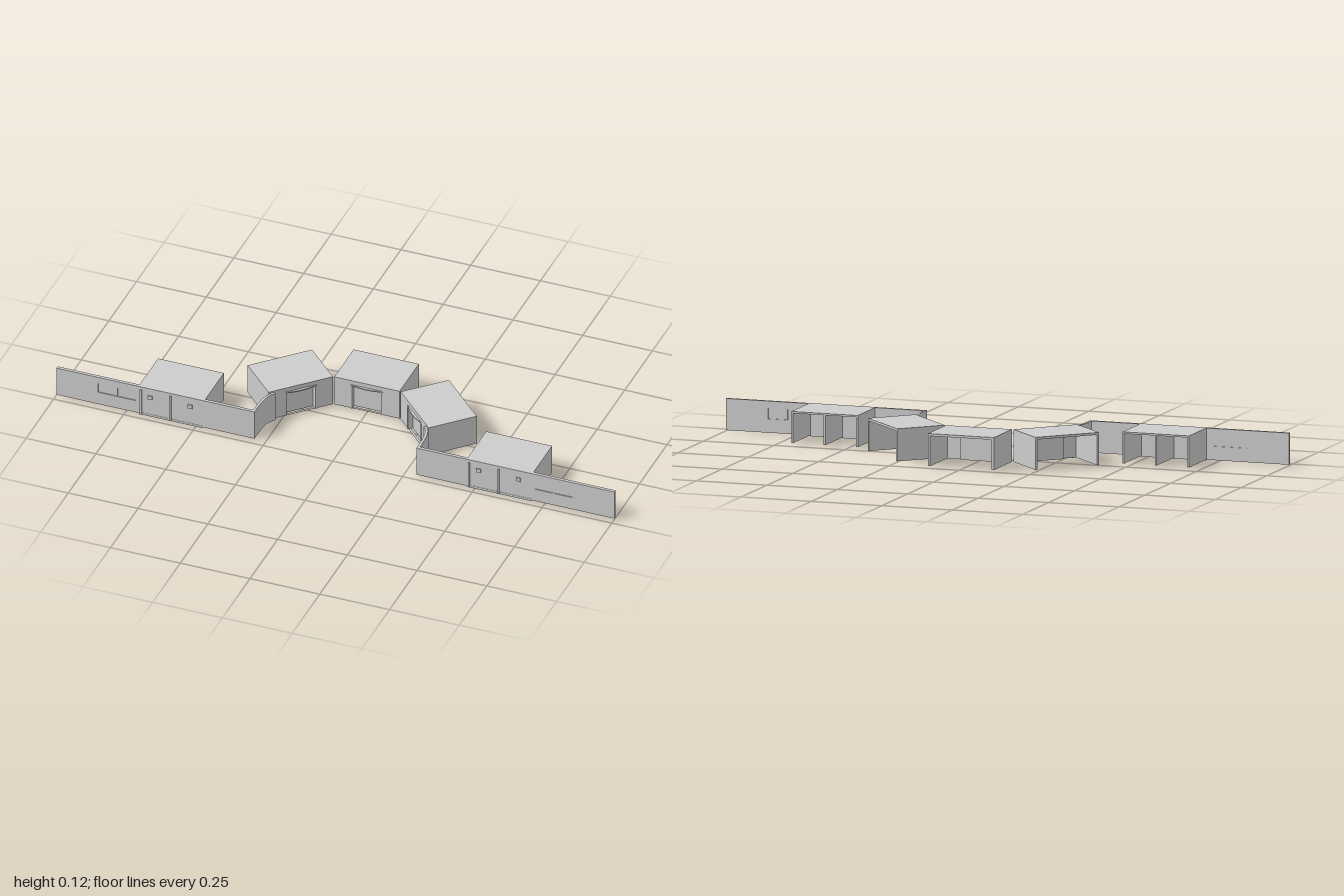
import * as THREE from 'three';

const mat = new THREE.MeshStandardMaterial({ color: 0xcccccc, side: THREE.DoubleSide });

// Box given by its min and max corners
function box(parent, name, x0, x1, y0, y1, z0, z1) {
  const m = new THREE.Mesh(new THREE.BoxGeometry(x1 - x0, y1 - y0, z1 - z0), mat);
  m.position.set((x0 + x1) / 2, (y0 + y1) / 2, (z0 + z1) / 2);
  m.name = name;
  parent.add(m);
  return m;
}

// Upright panel in x/y with rectangular holes [x0, x1, y0, y1], from z0 to z1
function panel(parent, name, x0, x1, y0, y1, z0, z1, holes) {
  const rect = (C, a, b, c, d) => {
    const p = new C();
    p.moveTo(a, c); p.lineTo(b, c); p.lineTo(b, d); p.lineTo(a, d); p.closePath();
    return p;
  };
  const shape = rect(THREE.Shape, x0, x1, y0, y1);
  holes.forEach(h => shape.holes.push(rect(THREE.Path, ...h)));
  const m = new THREE.Mesh(new THREE.ExtrudeGeometry(shape, { depth: z1 - z0, bevelEnabled: false }), mat);
  m.position.z = z0;
  m.name = name;
  parent.add(m);
}

// Pavilion open at the back and below, with a recessed doorway in front
function pavilion(name) {
  const g = new THREE.Group();
  g.name = name;
  const w = 0.117, d = 0.0875, t = 0.008, b = 0.005, doorW = 0.055, doorH = 0.095;
  box(g, 'roof', -w, w, 0.107, 0.115, -d, d);
  for (const s of [-1, 1]) {
    box(g, 'sideWall', s * (w - t / 2) - t / 2, s * (w - t / 2) + t / 2, b, 0.107, -d, d);
    box(g, 'doorJamb', s * doorW - 0.003, s * doorW + 0.003, b, doorH, d - 0.02, d + 0.002);
  }
  panel(g, 'frontWall', -w + t, w - t, b, 0.107, d - t, d, [[-doorW, doorW, b + 0.001, doorH]]);
  box(g, 'door', -doorW, doorW, b, doorH, d - 0.02, d - 0.016);
  box(g, 'doorHead', -doorW, doorW, doorH - 0.003, doorH, d - 0.02, d);

  // Shallow bowed canopy above the door
  const arc = new THREE.Shape();
  arc.moveTo(-0.06, 0);
  arc.quadraticCurveTo(0, -0.018, 0.06, 0);
  arc.closePath();
  const canopy = new THREE.Mesh(new THREE.ExtrudeGeometry(arc, { depth: 0.004, bevelEnabled: false }), mat);
  canopy.rotation.x = -Math.PI / 2;
  canopy.position.set(0, doorH, d);
  canopy.name = 'canopy';
  g.add(canopy);
  return g;
}

// Long street wall with a two-room block behind it, on the side s
function wing(s) {
  const g = new THREE.Group();
  g.name = s > 0 ? 'leftWing' : 'rightWing';
  const c = s * 0.588, h = 0.11, zf = 0.226, zb = 0.215;
  const x0 = s > 0 ? 0.29 : -1, x1 = s > 0 ? 1 : -0.29;
  const wx = [s * 0.715, s * 0.85].sort((a, b) => a - b);
  const mid = (wx[0] + wx[1]) / 2;

  panel(g, 'streetWall', x0, x1, 0.003, h, zb, zf, [[wx[0], wx[1], 0.05, 0.085]]);
  box(g, 'windowGlass', wx[0], wx[1], 0.05, 0.085, zb + 0.003, zf - 0.003);
  box(g, 'windowMullion', mid - 0.002, mid + 0.002, 0.05, 0.085, zb, zf);

  // Roof and three partitions, open at the back
  box(g, 'blockRoof', c - 0.118, c + 0.118, h - 0.006, h, 0.048, zb);
  for (const i of [-1, 0, 1]) {
    const x = c + i * 0.115;
    box(g, 'partition', x - 0.003, x + 0.003, 0.003, h - 0.006, 0.048, zb);
  }

  // Door surrounds, signs and threshold on the street side
  box(g, 'threshold', c - 0.115, c + 0.115, 0, 0.008, 0.1 + 0.115, zf + 0.001);
  for (const x of [-0.108, -0.002]) box(g, 'doorPost', c + x - 0.003, c + x + 0.003, 0.003, 0.1, zf, zf + 0.006);
  for (const x of [-0.075, 0.068]) box(g, 'sign', c + x - 0.008, c + x + 0.008, 0.069, 0.083, zf, zf + 0.004);
  return g;
}

// Curved link between a wing and a diagonal pavilion
function curvedWall(s) {
  const inner = new THREE.CubicBezierCurve(
    new THREE.Vector2(0.266, 0.098), new THREE.Vector2(0.285, 0.12),
    new THREE.Vector2(0.29, 0.14), new THREE.Vector2(0.29, 0.226));
  const pts = inner.getPoints(12);
  const outer = pts.map((p, i) => {
    const n = inner.getTangent(i / 12);
    return new THREE.Vector2(p.x + n.y * 0.009, p.y - n.x * 0.009);
  });
  const outline = [...pts, ...outer.reverse()].map(p => new THREE.Vector2(s * p.x, -p.y));
  const m = new THREE.Mesh(
    new THREE.ExtrudeGeometry(new THREE.Shape(outline), { depth: 0.107, bevelEnabled: false }), mat);
  m.rotation.x = -Math.PI / 2;
  m.position.y = 0.003;
  m.name = 'curvedWall';
  return m;
}

export function createModel() {
  const model = new THREE.Group();
  model.name = 'shopRow';

  const centre = pavilion('centrePavilion');
  centre.position.z = -0.147;
  model.add(centre);

  for (const s of [-1, 1]) {
    const diagonal = pavilion(s > 0 ? 'leftPavilion' : 'rightPavilion');
    diagonal.position.set(s * 0.266, 0, -0.038);
    diagonal.rotation.y = -s * Math.PI / 4;
    model.add(diagonal, wing(s), curvedWall(s));
  }
  return model;
}
